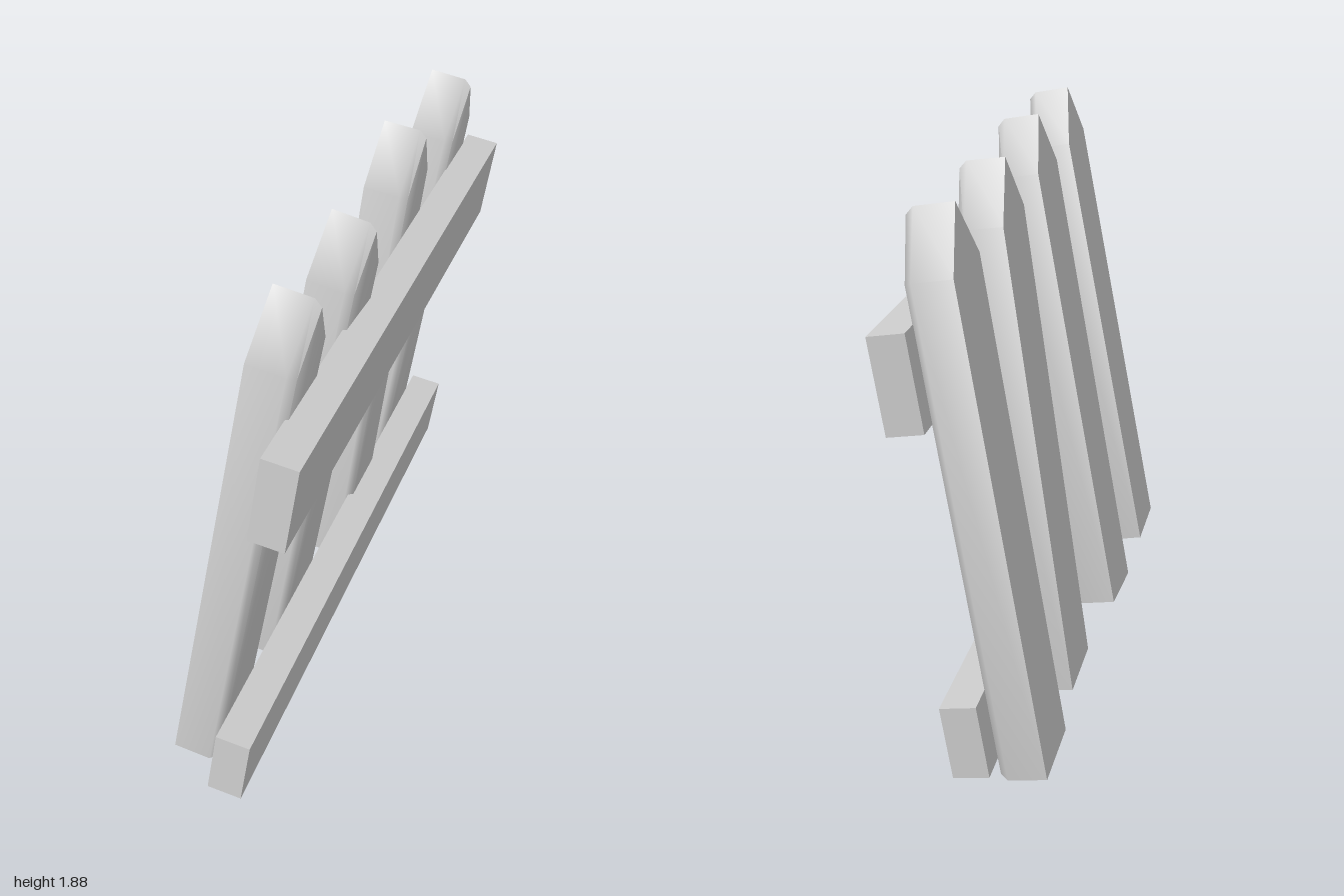
import * as THREE from 'three';
import { toCreasedNormals, mergeVertices } from 'three/addons/utils/BufferGeometryUtils.js';

const material = new THREE.MeshStandardMaterial({ color: 0xcccccc });

// Turns an object so its y follows "up" and its x follows "along" as nearly as possible.
function orient(object, along, up) {
  const y = up.clone().normalize();
  const x = along.clone().addScaledVector(y, -along.dot(y)).normalize();
  const z = new THREE.Vector3().crossVectors(x, y);
  object.quaternion.setFromRotationMatrix(new THREE.Matrix4().makeBasis(x, y, z));
}

// Pointed picket: flat back at z = 0, front edges softened by a small bevel.
function picketGeometry(width, shoulder, peak) {
  const loop = (inset, z) => {
    const h = width / 2 - inset;
    return [
      [-h, inset * 0.5, z], [h, inset * 0.5, z],
      [h, shoulder - inset * 0.4, z], [0, peak - inset, z], [-h, shoulder - inset * 0.4, z],
    ];
  };
  const loops = [loop(0, 0), loop(0, 0.125), loop(0.022, 0.15)];
  const n = 5;
  const index = [];
  for (let k = 0; k < loops.length - 1; k++) {
    for (let i = 0; i < n; i++) {
      const a = k * n + i, b = k * n + (i + 1) % n;
      index.push(a, b, b + n, a, b + n, a + n);
    }
  }
  const front = (loops.length - 1) * n;
  for (let i = 1; i < n - 1; i++) {
    index.push(front, front + i, front + i + 1); // front face
    index.push(0, i + 1, i);                     // back face
  }
  const geometry = new THREE.BufferGeometry();
  geometry.setAttribute('position', new THREE.Float32BufferAttribute(loops.flat(2), 3));
  geometry.setIndex(index);
  return toCreasedNormals(mergeVertices(geometry), THREE.MathUtils.degToRad(62));
}

export function createModel() {
  const group = new THREE.Group();
  group.name = 'fence';
  const along = new THREE.Vector3(0.813, -0.062, -0.58);

  // Pickets, each with its own slight lean
  const pickets = [
    { base: [-0.878, 0.15, 0.235], lean: [0.258, 1.759, 0.212], width: 0.282 },
    { base: [-0.43, 0.108, -0.072], lean: [0.21, 1.769, 0.24], width: 0.252, along: [0.835, -0.062, -0.54] },
    { base: [0.09, 0.077, -0.395], lean: [0.21, 1.763, 0.141], width: 0.28 },
    { base: [0.498, 0.052, -0.715], lean: [0.229, 1.748, 0.182], width: 0.284 },
  ];
  pickets.forEach((p, i) => {
    const lean = new THREE.Vector3(...p.lean);
    const picket = new THREE.Mesh(picketGeometry(p.width, lean.length() - 0.185, lean.length()), material);
    picket.name = `picket${i + 1}`;
    picket.position.set(...p.base);
    orient(picket, p.along ? new THREE.Vector3(...p.along) : along, lean);
    group.add(picket);
  });

  // Two rails across the front
  const rails = [
    { name: 'upperRail', height: 0.3, centre: [0.057, 1.361, 0.103] },
    { name: 'lowerRail', height: 0.24, centre: [-0.07, 0.244, -0.024] },
  ];
  for (const r of rails) {
    const rail = new THREE.Mesh(new THREE.BoxGeometry(2.19, r.height, 0.115), material);
    rail.name = r.name;
    rail.position.set(...r.centre);
    orient(rail, along, new THREE.Vector3(0.13, 1, 0.1));
    group.add(rail);
  }
  return group;
}
